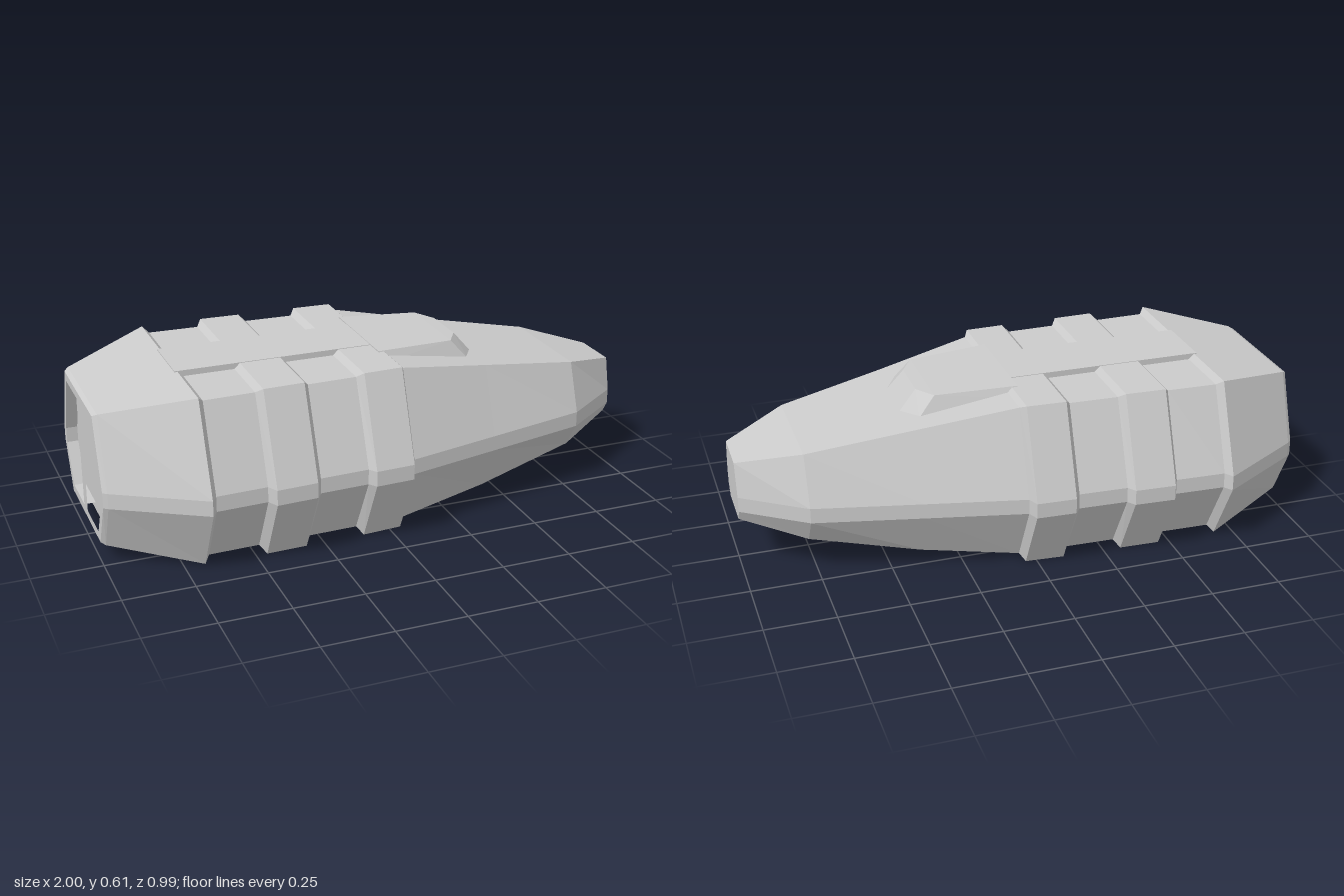
import * as THREE from 'three';
import { ConvexGeometry } from 'three/addons/geometries/ConvexGeometry.js';

const material = new THREE.MeshStandardMaterial({ color: 0xcccccc, flatShading: true });

// Octagonal cross-section as [z, y] pairs, starting at the top edge
function section(top, wide, yBottom, yTop, bottom = top) {
  return [
    [-top, yTop], [top, yTop], [wide, 0.295], [wide, 0.24],
    [bottom, yBottom], [-bottom, yBottom], [-wide, 0.24], [-wide, 0.295],
  ];
}

// Skin a row of sections along x, closing only the +x end
function loft(stations) {
  const pos = [];
  const put = (i, j) => {
    const [x, pts] = stations[i];
    const [z, y] = pts[j % 8];
    pos.push(x, y, z);
  };
  for (let i = 0; i < stations.length - 1; i++) {
    for (let j = 0; j < 8; j++) {
      put(i, j); put(i, j + 1); put(i + 1, j + 1);
      put(i, j); put(i + 1, j + 1); put(i + 1, j);
    }
  }
  const last = stations.length - 1;
  for (let j = 1; j < 7; j++) { put(last, 0); put(last, j); put(last, j + 1); }
  const geo = new THREE.BufferGeometry();
  geo.setAttribute('position', new THREE.Float32BufferAttribute(pos, 3));
  geo.computeVertexNormals();
  return geo;
}

export function createModel() {
  const group = new THREE.Group();
  const add = (name, geo) => {
    const mesh = new THREE.Mesh(geo, material);
    mesh.name = name;
    group.add(mesh);
    return mesh;
  };

  // Hull with three raised ribs and two grooves
  const stern = section(0.217, 0.303, 0.073, 0.535);
  add('hull', loft([
    [-1, stern],
    [-0.985, section(0.23, 0.315, 0.065, 0.543)],
    [-0.68, section(0.37, 0.495, 0.004, 0.608)],
    [-0.66, section(0.347, 0.464, 0.024, 0.589)],
    [-0.48, section(0.342, 0.457, 0.024, 0.589)],
    [-0.46, section(0.37, 0.495, 0, 0.608)],
    [-0.315, section(0.365, 0.488, 0, 0.608)],
    [-0.295, section(0.34, 0.459, 0.024, 0.589)],
    [-0.12, section(0.335, 0.452, 0.024, 0.589)],
    [-0.1, section(0.36, 0.48, 0, 0.608)],
    [0.04, section(0.355, 0.474, 0.003, 0.608)],
    [0.056, section(0.325, 0.435, 0.022, 0.593)],
    [0.4, section(0.265, 0.357, 0.065, 0.533)],
    [0.78, section(0.205, 0.27, 0.143, 0.47)],
    [1, section(0.088, 0.115, 0.198, 0.415)],
  ]));

  // Flat spine bridging the grooves on top
  const spine = add('spine', new THREE.BoxGeometry(0.74, 0.05, 0.23));
  spine.position.set(-0.32, 0.585, 0);

  // Wedge running forward from the front rib, with cut front corners
  const wedge = [];
  for (const s of [-1, 1]) {
    for (const [x, y, z] of [
      [0.02, 0.612, 0.193], [0.31, 0.603, 0.162], [0.357, 0.6, 0.085],
      [0.02, 0.57, 0.21], [0.37, 0.533, 0.18], [0.417, 0.53, 0.095],
      [0.1, 0.5, 0.19], [0.38, 0.5, 0.1],
    ]) wedge.push(new THREE.Vector3(x, y, z * s));
  }
  add('canopy', new ConvexGeometry(wedge));

  // Stern frame with two recessed windows either side of a central bar
  const toShape = (pts, Type) => new Type(pts.map(([z, y]) => new THREE.Vector2(z, y)));
  const frame = toShape(stern, THREE.Shape);
  for (const s of [-1, 1]) {
    frame.holes.push(toShape([
      [0.028 * s, 0.505], [0.195 * s, 0.505], [0.272 * s, 0.295],
      [0.272 * s, 0.24], [0.195 * s, 0.103], [0.028 * s, 0.103],
    ], THREE.Path));
  }
  const frameMesh = add('sternFrame', new THREE.ExtrudeGeometry(frame, { depth: 0.045, bevelEnabled: false }));
  frameMesh.position.x = -0.955;
  frameMesh.rotation.y = -Math.PI / 2;

  const panel = add('sternPanel', new THREE.ShapeGeometry(toShape(stern, THREE.Shape)));
  panel.position.x = -0.96;
  panel.rotation.y = -Math.PI / 2;

  return group;
}
